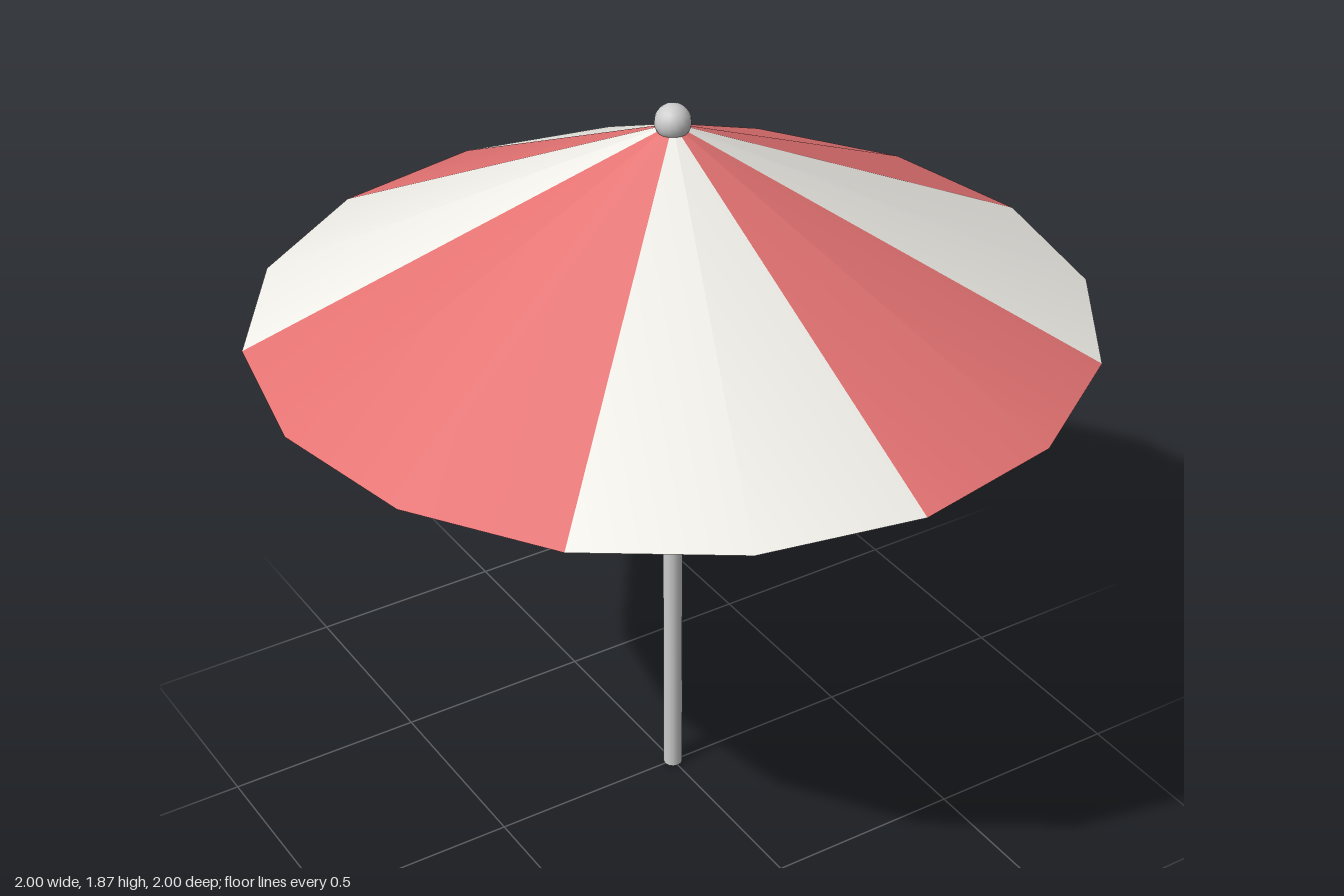
import * as THREE from 'three';

const SIDES = 16;
const RIM_Y = 1.33;
const CANOPY_HEIGHT = 0.495;

export function createModel() {
  const group = new THREE.Group();
  const metal = new THREE.MeshStandardMaterial({ color: 0xcccccc });
  const red = new THREE.MeshStandardMaterial({ color: 0xe57373, side: THREE.DoubleSide });
  const cream = new THREE.MeshStandardMaterial({ color: 0xf0eee8, side: THREE.DoubleSide });

  const add = (name, geometry, material, y, parent = group) => {
    const mesh = new THREE.Mesh(geometry, material);
    mesh.name = name;
    mesh.position.y = y;
    parent.add(mesh);
    return mesh;
  };

  // Pole, ending just under the canopy
  const poleHeight = 1.775;
  add('pole', new THREE.CylinderGeometry(0.024, 0.024, poleHeight, 12), metal, poleHeight / 2);

  // Canopy: open cone in alternating stripes, some wider than others
  const canopy = new THREE.Group();
  canopy.name = 'canopy';
  group.add(canopy);
  const stripeWidths = [2, 2, 2, 2, 1, 2, 3, 2];
  const step = (Math.PI * 2) / SIDES;
  let start = 0;
  stripeWidths.forEach((width, i) => {
    const stripe = new THREE.ConeGeometry(1, CANOPY_HEIGHT, width, 1, true, start * step, width * step);
    const isRed = i % 2 === 0;
    add(isRed ? 'redStripe' : 'creamStripe', stripe, isRed ? red : cream, RIM_Y + CANOPY_HEIGHT / 2, canopy);
    start += width;
  });

  // Ball on the tip
  add('finial', new THREE.SphereGeometry(0.043, 16, 12), metal, 1.83);

  return group;
}
